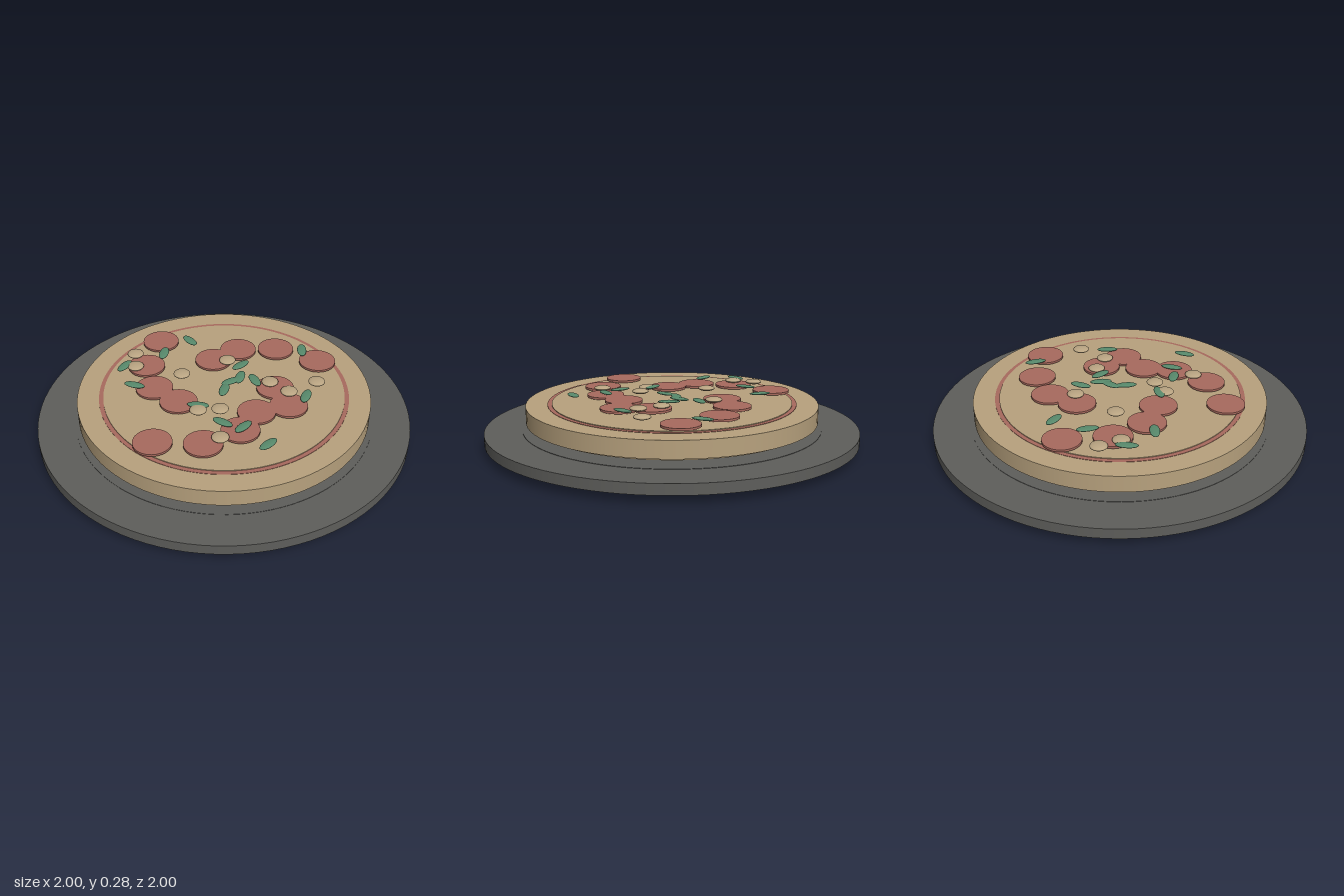
import * as THREE from 'three';

const material = (name, color) => new THREE.MeshStandardMaterial({ name, color });

export function createModel() {
  const stone = material('slate grey', 0x5e5e5b);
  const crust = material('baked crust', 0xb8a27e);
  const sauce = material('tomato red', 0xa86a5e);
  const mushroom = material('mushroom tan', 0xb9a482);
  const basil = material('basil green', 0x588a6c);

  const pizza = new THREE.Group();
  pizza.name = 'pizza';

  const add = (name, geometry, mat, x, y, z, parent = pizza) => {
    const mesh = new THREE.Mesh(geometry, mat);
    mesh.name = name;
    mesh.position.set(x, y, z);
    parent.add(mesh);
    return mesh;
  };
  // Round slab between two heights
  const disc = (name, r, y0, y1, mat) =>
    add(name, new THREE.CylinderGeometry(r, r, y1 - y0, 96), mat, 0, (y0 + y1) / 2, 0);
  const group = (name) => {
    const g = new THREE.Group();
    g.name = name;
    pizza.add(g);
    return g;
  };

  // Serving board
  disc('boardFoot', 0.87, 0, 0.043, stone);
  disc('boardTop', 1, 0.043, 0.098, stone);
  disc('boardInset', 0.8, 0.096, 0.1, stone);

  // Dough, sauce and cheese layers
  disc('doughBase', 0.74, 0.123, 0.14, crust);
  disc('crust', 0.78, 0.14, 0.23, crust);
  disc('sauce', 0.665, 0.226, 0.232, sauce);
  disc('cheese', 0.642, 0.228, 0.236, crust);

  // Pepperoni slices: [x, z]
  const slices = group('pepperoni');
  const sliceGeo = new THREE.CylinderGeometry(0.1, 0.1, 0.012, 40);
  [
    [-0.045, -0.47], [0.2, -0.54], [-0.195, -0.32], [-0.225, -0.15], [-0.57, -0.075],
    [-0.45, 0.145], [-0.27, 0.255], [-0.09, 0.25], [0.055, 0.57], [0.245, 0.405],
    [0.305, 0.2], [0.265, 0.035], [0.35, -0.12], [0.195, -0.19],
  ].forEach(([x, z]) => add('pepperoniSlice', sliceGeo, sauce, x, 0.25, z, slices));

  // Mushroom buttons: [x, z]
  const buttons = group('mushrooms');
  const buttonGeo = new THREE.SphereGeometry(0.045, 24, 16).scale(1, 0.3, 1);
  [
    [0.33, -0.375], [0.28, -0.205], [0.15, -0.2], [-0.155, -0.19], [-0.245, 0.075],
    [-0.57, 0.12], [-0.48, 0.2], [0.12, 0.155], [0.045, 0.24], [0.28, 0.32],
  ].forEach(([x, z]) => add('mushroomButton', buttonGeo, mushroom, x, 0.263, z, buttons));

  // Basil leaves: [x, z, degrees from +x towards +z]
  const leaves = group('basil');
  const leafGeo = new THREE.SphereGeometry(1, 24, 14).scale(0.058, 0.007, 0.026);
  [
    [0.085, -0.545, 48], [-0.44, -0.18, 10], [-0.065, -0.2, 92], [0.375, -0.23, 65],
    [0.085, -0.15, 25], [0.01, -0.115, 60], [0, -0.055, 105], [0.025, 0.025, 60],
    [-0.455, 0.01, 55], [-0.52, 0.245, 75], [-0.35, 0.325, -25], [0.02, 0.215, -35],
    [0.21, 0.23, -10], [0.31, 0.185, 87], [0.49, 0.2, 90],
  ].forEach(([x, z, a]) => {
    add('basilLeaf', leafGeo, basil, x, 0.267, z, leaves).rotation.y = -THREE.MathUtils.degToRad(a);
  });

  return pizza;
}
